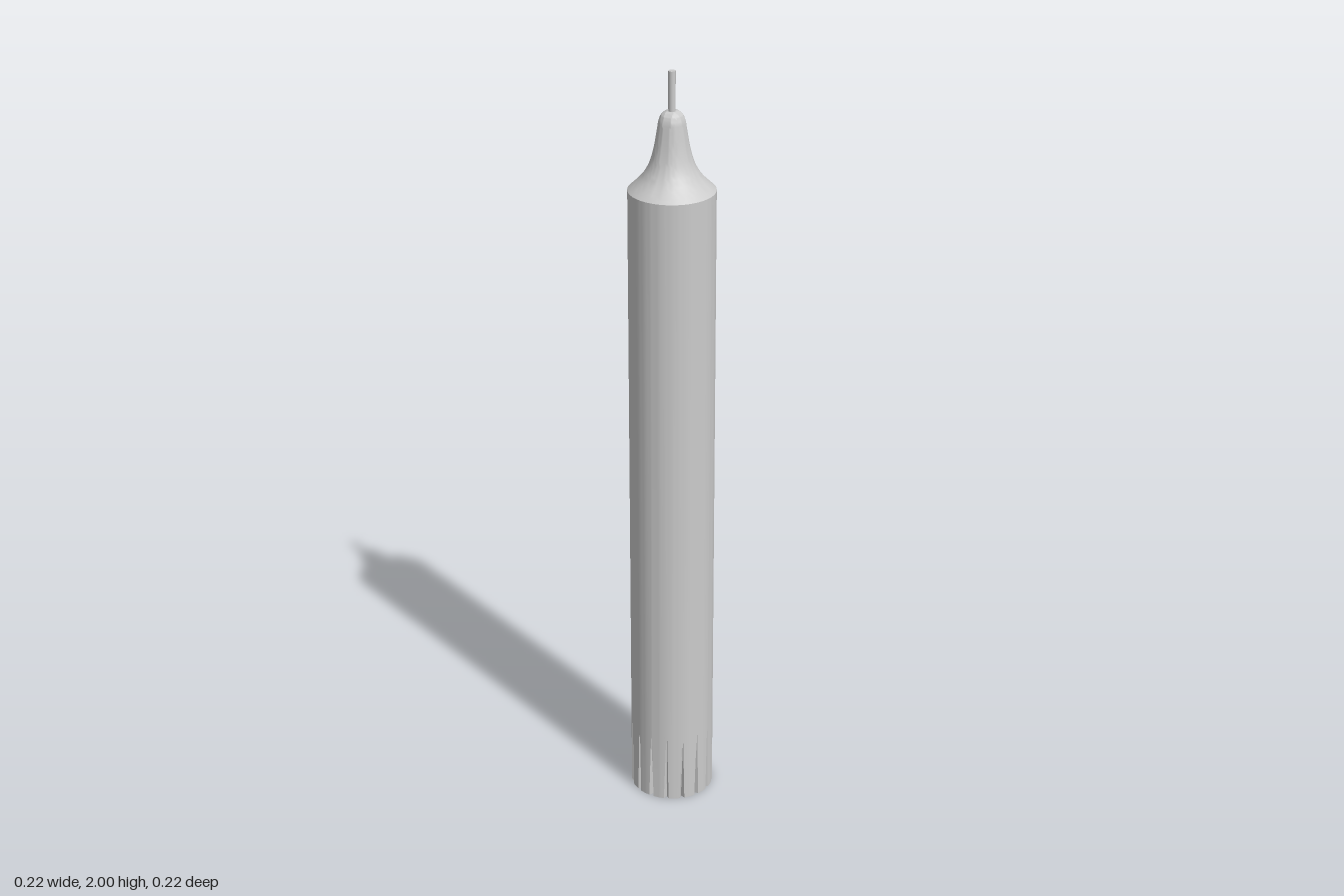
import * as THREE from 'three';
import { toCreasedNormals } from 'three/addons/utils/BufferGeometryUtils.js';

const RADIUS = 0.109, SHOULDER = 1.7, FLUTES = 16, FLUTE_TOP = 0.19;

// Cylinder whose foot is cut by V-shaped grooves that narrow and fade out upwards
function bodyGeometry() {
  const geo = new THREE.CylinderGeometry(RADIUS, RADIUS, SHOULDER, FLUTES * 6, 2);
  const pos = geo.attributes.position;
  const pitch = (Math.PI * 2) / FLUTES;
  const phase = THREE.MathUtils.degToRad(-6);
  for (let i = 0; i < pos.count; i++) {
    const x = pos.getX(i), z = pos.getZ(i);
    let y = pos.getY(i) + SHOULDER / 2;
    if (Math.abs(y - SHOULDER / 2) < 1e-4) y = FLUTE_TOP;
    let r = Math.hypot(x, z);
    let angle = Math.atan2(x, z);
    if (r > 1e-4) {
      const step = Math.round(angle / (pitch / 6));
      const k = ((step % 6) + 6) % 6;
      const foot = y < 0.01;
      if (foot && k === 0) r -= 0.012;
      // the columns beside a groove close up at its tip
      const shift = foot ? 0.1 : 0.62;
      if (y < SHOULDER - 0.01 && k === 1) angle -= (pitch / 6) * shift;
      if (y < SHOULDER - 0.01 && k === 5) angle += (pitch / 6) * shift;
      angle += phase;
    }
    pos.setXYZ(i, r * Math.sin(angle), y, r * Math.cos(angle));
  }
  return toCreasedNormals(geo, 0.5);
}

export function createModel() {
  const group = new THREE.Group();
  const material = new THREE.MeshStandardMaterial({ color: 0xcccccc });
  const add = (name, geometry) => {
    const mesh = new THREE.Mesh(geometry, material);
    mesh.name = name;
    group.add(mesh);
    return mesh;
  };

  add('candleBody', bodyGeometry());

  // Concave shoulder rising to a rounded tip
  const curve = new THREE.SplineCurve([
    [RADIUS, SHOULDER], [0.077, 1.732], [0.057, 1.765], [0.045, 1.805],
    [0.037, 1.85], [0.033, 1.875], [0.026, 1.892], [0.016, 1.9],
  ].map(([r, y]) => new THREE.Vector2(r, y)));
  const profile = [...curve.getPoints(28), new THREE.Vector2(0, 1.9)];
  add('taperedTip', toCreasedNormals(new THREE.LatheGeometry(profile, 64), 0.6));

  // Wick
  add('wick', new THREE.CylinderGeometry(0.009, 0.009, 0.11, 24)).position.y = 1.945;

  return group;
}
